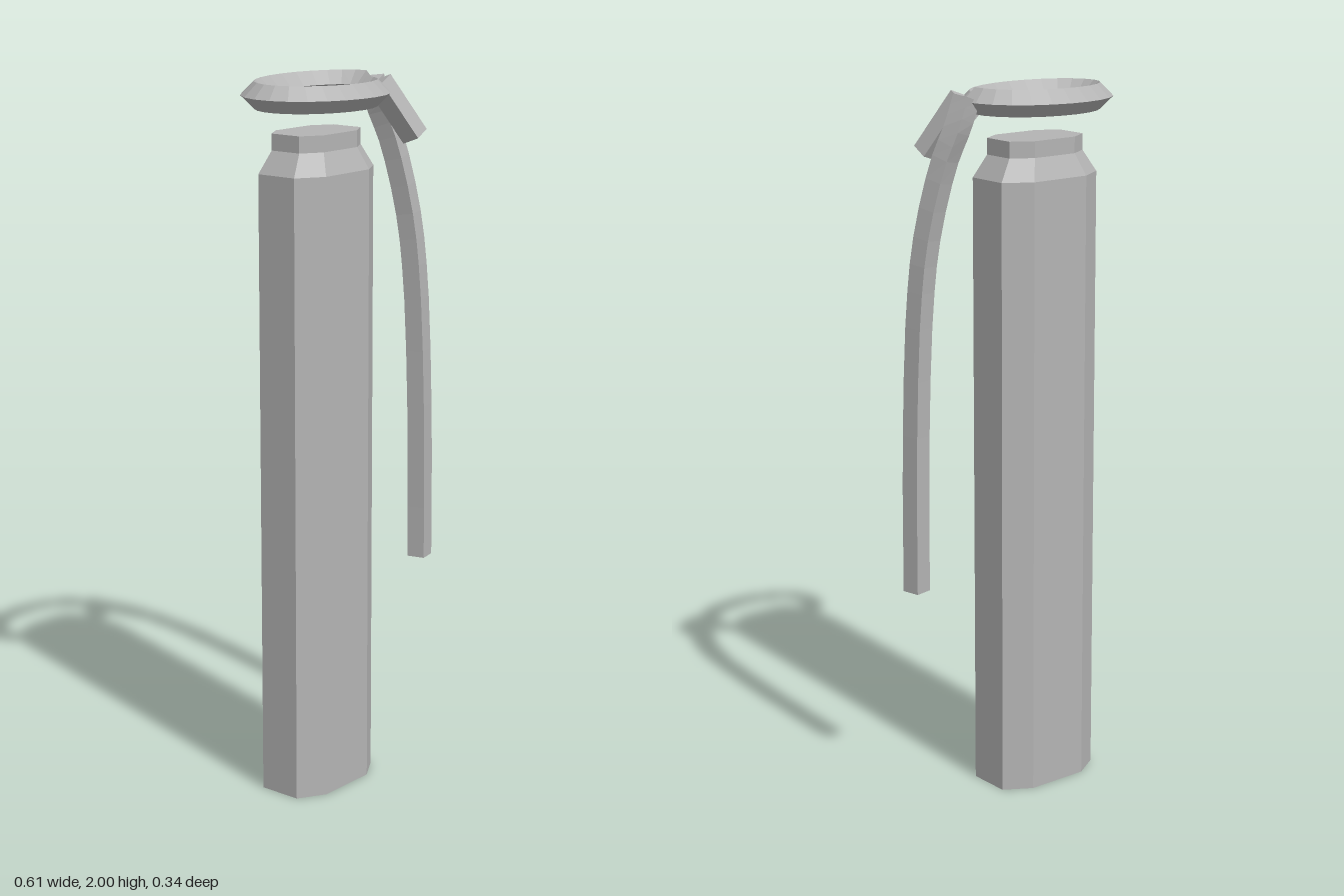
import * as THREE from 'three';

const V = (x, y, z) => new THREE.Vector3(x, y, z);

// Skins a list of equal cross-sections (each counter-clockwise about the travel direction) and caps both ends.
function loft(sections) {
  const pos = [];
  const tri = (...p) => p.forEach((q) => pos.push(q.x, q.y, q.z));
  const n = sections[0].length;
  for (let i = 0; i < sections.length - 1; i++) {
    const r = sections[i], s = sections[i + 1];
    for (let j = 0; j < n; j++) {
      const k = (j + 1) % n;
      tri(r[j], r[k], s[k]);
      tri(r[j], s[k], s[j]);
    }
  }
  const a = sections[0], b = sections[sections.length - 1];
  for (let j = 1; j < n - 1; j++) {
    tri(a[0], a[j + 1], a[j]);
    tri(b[0], b[j], b[j + 1]);
  }
  const g = new THREE.BufferGeometry();
  g.setAttribute('position', new THREE.Float32BufferAttribute(pos, 3));
  g.computeVertexNormals();
  return g;
}

// Four-sided section spanned by half-vectors u and v around a centre.
const quad = (c, u, v) => [[-1, -1], [1, -1], [1, 1], [-1, 1]].map(
  ([i, j]) => c.clone().addScaledVector(u, i).addScaledVector(v, j));

export function createModel() {
  const group = new THREE.Group();
  const metal = new THREE.MeshStandardMaterial({ color: 0xb4b4b4, flatShading: true });
  metal.name = 'grey metal';
  const add = (name, sections) => {
    const mesh = new THREE.Mesh(loft(sections), metal);
    mesh.name = name;
    group.add(mesh);
  };

  // Eight-sided body with a sloped shoulder and short neck
  const octagon = (y, s) => {
    const hx = 0.167 * s, fx = 0.091 * s, hz = 0.108 * s, fz = 0.062 * s;
    return [[-fx, hz], [fx, hz], [hx, fz], [hx, -fz], [fx, -hz], [-fx, -hz], [-hx, -fz], [-hx, fz]]
      .map(([x, z]) => V(x - 0.072, y, z));
  };
  add('body', [octagon(0, 1), octagon(1.75, 1), octagon(1.81, 0.77), octagon(1.855, 0.77)]);

  // Oval pull ring: one slowly descending turn of diamond-section wire
  const ring = [];
  const segments = 24, r = 0.036;
  for (let i = 0; i <= segments; i++) {
    const t = i / segments, a = -0.08 + t * Math.PI * 2;
    const c = V(-0.072 + 0.2 * Math.cos(a), 1.964 - 0.016 * t, -0.136 * Math.sin(a));
    const out = V(Math.cos(a) / 0.2, 0, -Math.sin(a) / 0.136).setLength(r);
    const down = V(0, -r, 0);
    ring.push([out, down, out.clone().negate(), down.clone().negate()].map((d) => d.add(c)));
  }
  add('pullRing', ring);

  // Slanted block where the ring meets the lever
  const u = V(0.029, 0.0095, -0.0075), v = V(-0.0065, 0.0105, 0.03);
  add('hingeBlock', [quad(V(0.142, 1.97, 0.043), u, v), quad(V(0.212, 1.82, 0.115), u, v)]);

  // Long lever curving outwards and down beside the body
  const path = new THREE.CatmullRomCurve3([
    V(0.158, 1.975, 0.006), V(0.185, 1.9, 0.01), V(0.215, 1.8, 0.034), V(0.249, 1.6, 0.066),
    V(0.263, 1.4, 0.083), V(0.272, 1.0, 0.095), V(0.273, 0.6, 0.098)]);
  const lever = [];
  for (let i = 0; i <= 16; i++) {
    const t = path.getPoint(i / 16), dir = path.getTangent(i / 16);
    const side = V(0.0255, 0, -0.0055);
    side.addScaledVector(dir, -side.dot(dir)).setLength(0.026);
    lever.push(quad(t, side, dir.clone().cross(side)));
  }
  add('lever', lever);

  return group;
}
